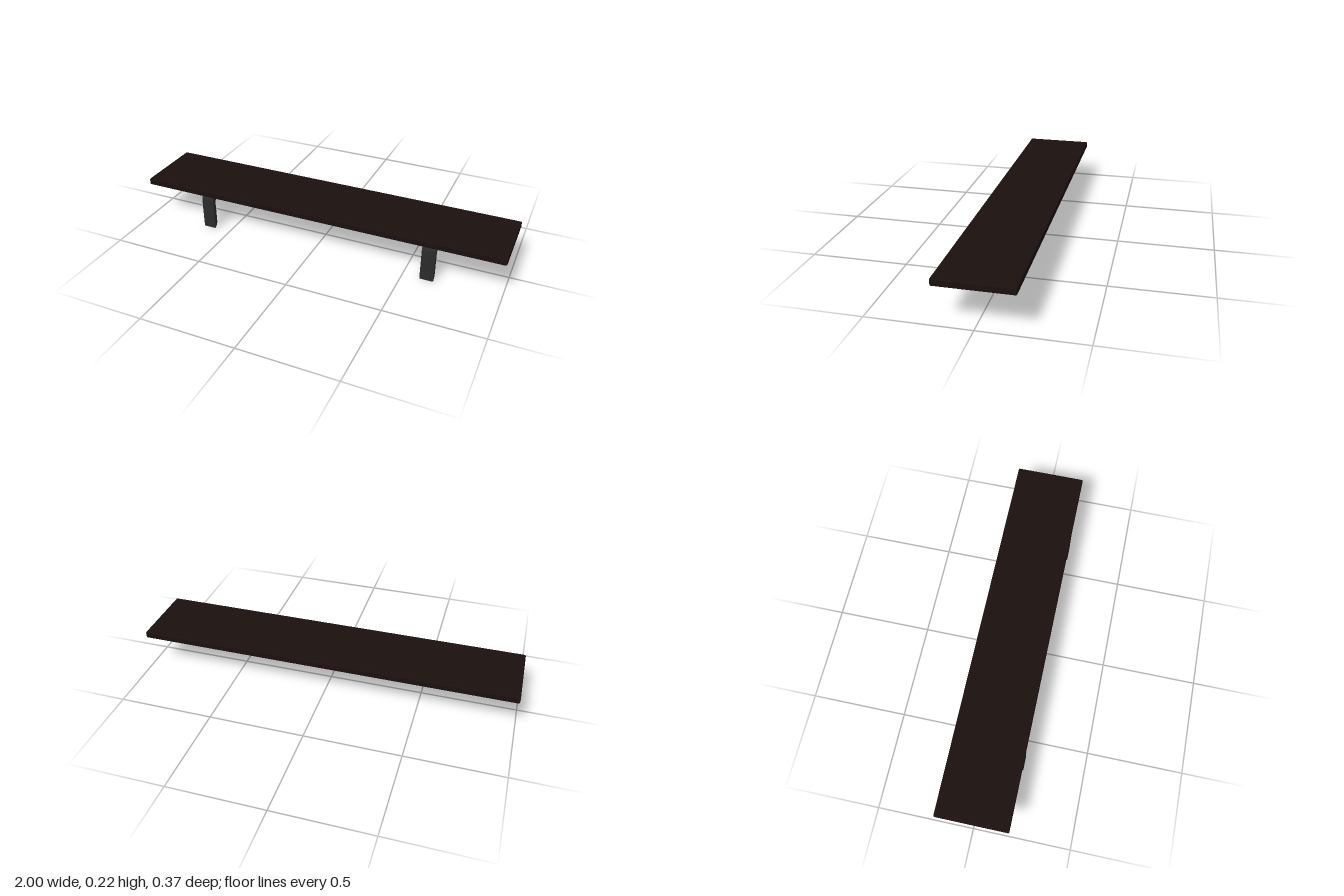
import * as THREE from 'three';
import { RoundedBoxGeometry } from 'three/addons/geometries/RoundedBoxGeometry.js';
import { toCreasedNormals } from 'three/addons/utils/BufferGeometryUtils.js';

const WIDTH = 0.072;  // bracket width along x
const BEVEL = 0.004;

// L-shaped side profile (shape x = model z), extruded across the bracket width
function bracketGeometry() {
  const s = new THREE.Shape();
  s.moveTo(0.187, 0);
  s.lineTo(0.187, 0.168);
  s.quadraticCurveTo(0.187, 0.189, 0.166, 0.189);  // outer bend
  s.lineTo(-0.125, 0.189);
  s.lineTo(-0.119, 0.181);
  s.lineTo(-0.1, 0.171);                           // slanted tip under the board
  s.lineTo(0.142, 0.171);
  s.quadraticCurveTo(0.163, 0.171, 0.163, 0.15);   // inner bend
  s.lineTo(0.163, 0.028);
  s.lineTo(0.175, 0.008);                          // slanted lower tip
  s.closePath();
  const geo = new THREE.ExtrudeGeometry(s, {
    depth: WIDTH - 2 * BEVEL,
    curveSegments: 8,
    bevelEnabled: true,
    bevelThickness: BEVEL,
    bevelSize: BEVEL,
    bevelOffset: -BEVEL,
    bevelSegments: 2,
  });
  geo.translate(0, 0, BEVEL - WIDTH / 2);
  geo.rotateY(-Math.PI / 2);
  return toCreasedNormals(geo, 0.6);
}

export function createModel() {
  const model = new THREE.Group();
  model.name = 'shelf';
  const wood = new THREE.MeshStandardMaterial({ color: 0x1a110f });
  const metal = new THREE.MeshStandardMaterial({ color: 0x2b2b2b });

  // Board with softened edges
  const board = new THREE.Mesh(new RoundedBoxGeometry(2, 0.036, 0.374, 2, 0.007), wood);
  board.name = 'board';
  board.position.y = 0.207;
  model.add(board);

  // Pair of brackets, mirrored about the centre
  const geo = bracketGeometry();
  for (const side of [-1, 1]) {
    const bracket = new THREE.Mesh(geo, metal);
    bracket.name = side > 0 ? 'leftBracket' : 'rightBracket';
    bracket.position.x = side * 0.625;
    model.add(bracket);
  }
  return model;
}
